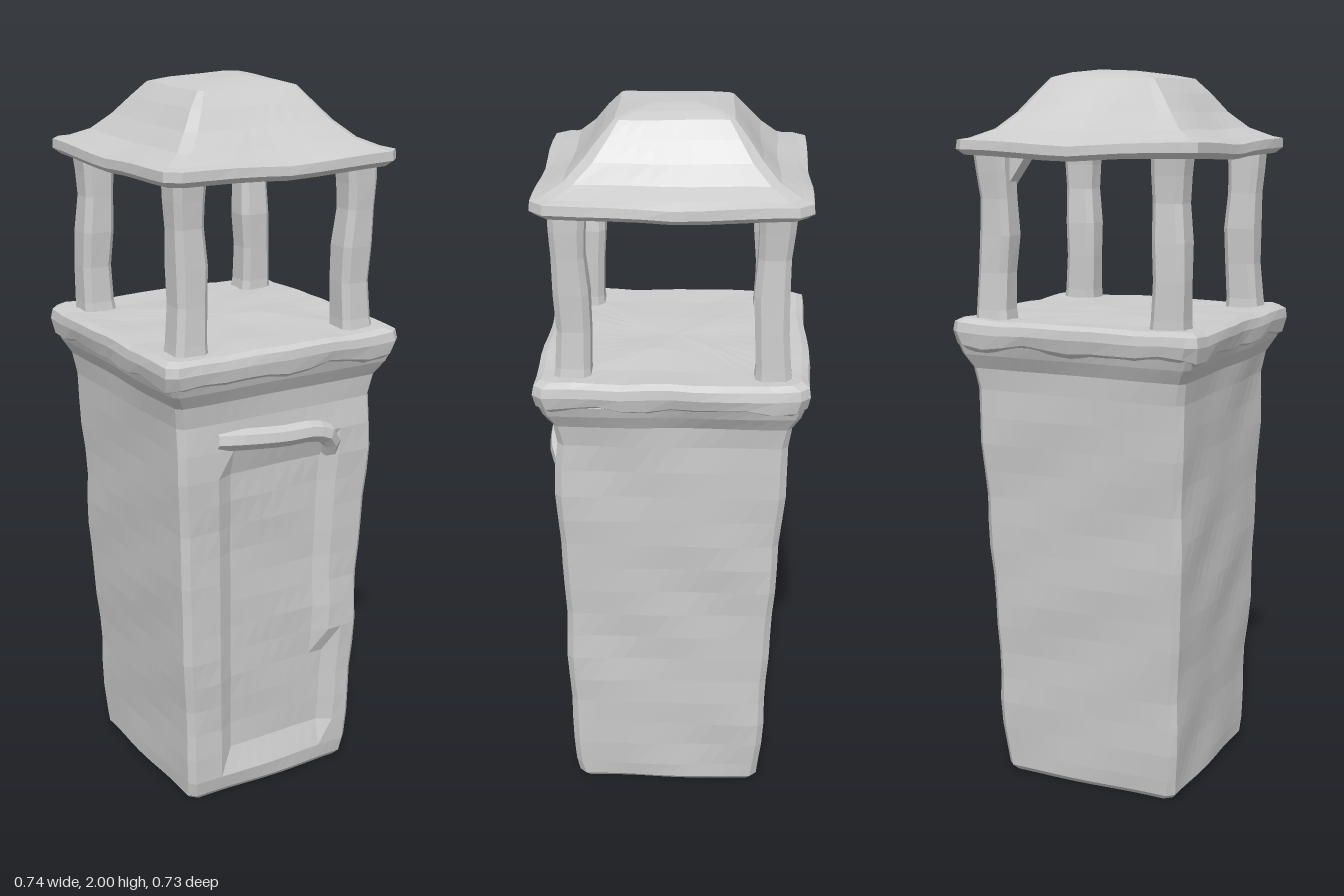
import * as THREE from 'three';

const material = new THREE.MeshStandardMaterial({ color: 0xcccccc, flatShading: true, side: THREE.DoubleSide });

// Smooth repeatable unevenness, roughly -1..1
const wobble = (x, y, z, s) =>
  (Math.sin(x * 17 + y * 9 + s) + Math.sin(z * 19 - y * 13 + s * 2.3) + Math.sin((x - z) * 11 + y * 23 + s * 4.1)) / 3;

// Square ring with chamfered corners, counter-clockwise from above
function squareRing(h, c, n) {
  const points = [];
  for (let k = 0; k < 4; k++) {
    const cos = Math.cos(k * Math.PI / 2), sin = Math.sin(k * Math.PI / 2);
    for (let i = 0; i <= n; i++) {
      const t = (h - c) * (2 * i / n - 1);
      points.push([h * cos - t * sin, -(h * sin + t * cos)]);
    }
  }
  return points;
}

// Loft of square rings [y, halfWidth, chamfer, zCentre], closed at both ends
function squareLoft(name, rings, n, rough, warp) {
  const positions = [], index = [], count = 4 * (n + 1);
  rings.forEach(([y, h, c = 0.015, zc = 0]) => {
    for (const [x, z] of squareRing(h, c, n)) {
      const p = new THREE.Vector3(x, y, z + zc);
      const k = 1 + rough * wobble(x, y, z, 1) / h;
      p.x *= k;
      p.z *= k;
      if (warp) warp(p, y, h);
      positions.push(p.x, p.y, p.z);
    }
  });
  for (let r = 0; r < rings.length - 1; r++) {
    for (let i = 0; i < count; i++) {
      const j = (i + 1) % count, a = r * count, b = a + count;
      index.push(a + i, a + j, b + j, a + i, b + j, b + i);
    }
  }
  const first = rings[0], last = rings[rings.length - 1];
  const bottom = positions.length / 3, top = bottom + 1, o = (rings.length - 1) * count;
  positions.push(0, first[0], first[3] || 0, 0, last[0], last[3] || 0);
  for (let i = 0; i < count; i++) {
    const j = (i + 1) % count;
    index.push(bottom, j, i, top, o + i, o + j);
  }
  const geometry = new THREE.BufferGeometry();
  geometry.setAttribute('position', new THREE.Float32BufferAttribute(positions, 3));
  geometry.setIndex(index);
  geometry.computeVertexNormals();
  const mesh = new THREE.Mesh(geometry, material);
  mesh.name = name;
  return mesh;
}

export function createModel() {
  const group = new THREE.Group();
  group.name = 'stoneLantern';

  // Tapered shaft, with a shallow sunken panel on the front
  const shaftRings = [[0, 0.255, 0.02, 0.015], [0.015, 0.267, 0.02, 0.015]];
  for (let i = 0; i <= 14; i++) {
    const t = i / 14;
    shaftRings.push([0.06 + t * 1.08, 0.27 + t * 0.04, 0.018, 0.015 * (1 - t)]);
  }
  shaftRings.push([1.2, 0.318], [1.24, 0.34], [1.27, 0.35]);
  group.add(squareLoft('shaft', shaftRings, 12, 0.006, (p, y) => {
    const inPanel = p.z > 0.25 && Math.abs(p.x - 0.015) < 0.165 && y > 0.1 && y < 1.06;
    if (inPanel) p.z -= 0.016;
    else if (p.z > 0.25 && y > 0.05 && y < 1.1) p.z += 0.006;
  }));

  // Drooping moulding over the panel
  const lintelPath = new THREE.CatmullRomCurve3([
    [-0.19, 1.09, 0.295], [-0.12, 1.085, 0.31], [0, 1.075, 0.318], [0.11, 1.07, 0.318], [0.16, 1.045, 0.312], [0.175, 1, 0.29],
  ].map(p => new THREE.Vector3(...p)));
  const lintel = new THREE.Mesh(new THREE.TubeGeometry(lintelPath, 12, 0.03, 7), material);
  lintel.name = 'panelMoulding';
  group.add(lintel);

  // Chipped ledge with a flat deck
  group.add(squareLoft('ledge', [
    [1.25, 0.335, 0.03], [1.265, 0.357, 0.03], [1.3, 0.364, 0.025], [1.325, 0.36, 0.025],
    [1.336, 0.342, 0.025], [1.335, 0.25, 0.02], [1.338, 0.12, 0.01],
  ], 10, 0.007, (p, y, h) => {
    p.y += (y < 1.28 ? 0.016 : 0.005) * wobble(p.x * 1.7, y, p.z * 1.7, 5);
  }));

  // Four rough corner posts
  for (const sx of [-1, 1]) {
    for (const sz of [-1, 1]) {
      const seed = sx * 2 + sz;
      const post = squareLoft('post', [
        [1.32, 0.05, 0.018], [1.36, 0.046, 0.016], [1.46, 0.043, 0.016], [1.56, 0.045, 0.016],
        [1.66, 0.043, 0.016], [1.73, 0.046, 0.016], [1.79, 0.049, 0.018],
      ], 1, 0.002, (p, y) => {
        p.x += 0.005 * Math.sin(y * 14 + seed);
        p.z += 0.005 * Math.sin(y * 12 + seed * 2);
      });
      post.position.set(sx * 0.258, 0, sz * 0.26);
      group.add(post);
    }
  }

  // Small brace under the roof at one rear post
  const braceShape = new THREE.Shape([[0, 0], [0, 0.1], [-0.07, 0.1], [-0.05, 0.07]].map(p => new THREE.Vector2(...p)));
  const brace = new THREE.Mesh(new THREE.ExtrudeGeometry(braceShape, { depth: 0.05, bevelEnabled: false }), material);
  brace.name = 'brace';
  brace.position.set(0.23, 1.68, -0.27);
  group.add(brace);

  // Flared roof with a blunt, slightly domed crown
  group.add(squareLoft('roof', [
    [1.775, 0.15, 0.01], [1.77, 0.28, 0.02], [1.765, 0.335, 0.03], [1.78, 0.353, 0.035], [1.805, 0.351, 0.035],
    [1.82, 0.325, 0.03], [1.842, 0.27, 0.025], [1.885, 0.225, 0.025], [1.935, 0.187, 0.02], [1.976, 0.152, 0.012],
    [1.988, 0.11, 0.012], [1.997, 0.05, 0.006],
  ], 8, 0.005, (p, y, h) => {
    p.y += 0.004 * wobble(p.x, y, p.z, 7);
    if (h > 0.33) p.y += 0.012 * Math.min(Math.abs(p.x), Math.abs(p.z)) / 0.35;
    p.y = Math.min(p.y, 2);
  }));

  return group;
}
